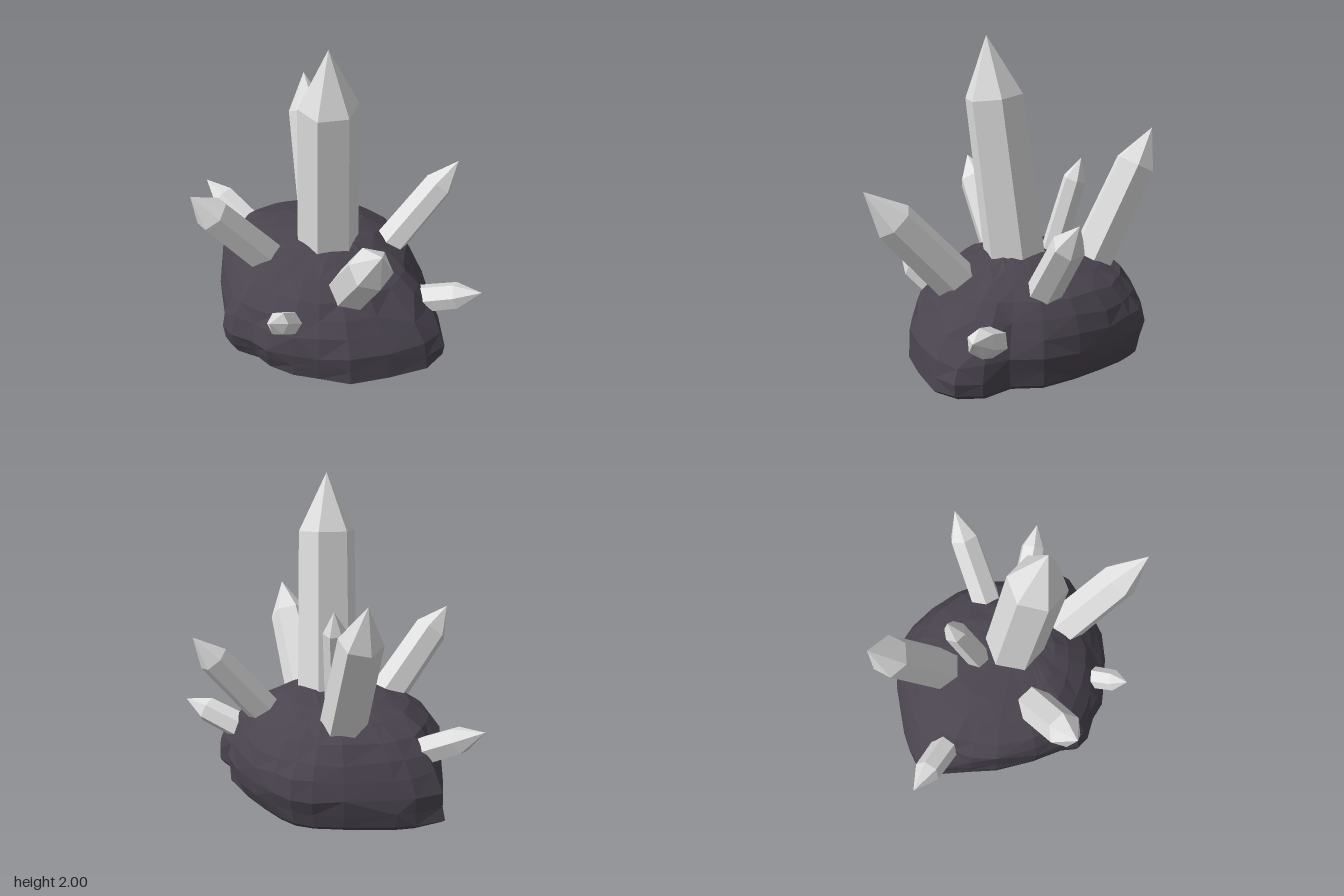
import * as THREE from 'three';

const rockMat = new THREE.MeshStandardMaterial({ color: 0x4a444f, flatShading: true });
rockMat.name = 'dark rock';
const crystalMat = new THREE.MeshStandardMaterial({ color: 0xe0e0e0, flatShading: true });
crystalMat.name = 'pale crystal';

// Small seeded noise in -1..1
function makeNoise(seed) {
  let s = seed;
  return () => {
    s = (s * 16807) % 2147483647;
    return (s / 2147483647) * 2 - 1;
  };
}

// Plan outline of the rock (x, z), running back, left, front, right
const OUTLINE = [
  [-0.16, -0.69], [-0.29, -0.67], [-0.4, -0.6], [-0.53, -0.47], [-0.72, -0.23], [-0.78, -0.13],
  [-0.84, 0.05], [-0.72, 0.17], [-0.6, 0.29], [-0.48, 0.42], [-0.26, 0.58], [-0.07, 0.68],
  [0.0, 0.74], [0.09, 0.74], [0.22, 0.67], [0.34, 0.65], [0.49, 0.57], [0.61, 0.46],
  [0.75, 0.33], [0.84, 0.11], [0.93, -0.13], [0.91, -0.29], [0.79, -0.39], [0.61, -0.42],
  [0.47, -0.56], [0.25, -0.64], [0.03, -0.68],
];

// Rock layers: height, scale along x, scale along z, x shift, roughness, roundness of plan
const LAYERS = [
  [0, 0, 0, 0, 0, 0],
  [0.015, 0.5, 0.5, 0, 0, 0],
  [0.045, 0.97, 0.89, 0, 0.003, 0],
  [0.07, 1.0, 0.93, 0, 0.006, 0],
  [0.15, 0.99, 0.97, 0, 0.01, 0],
  [0.24, 0.97, 1.0, 0, 0.01, 0.1],
  [0.35, 0.88, 0.97, 0, 0.012, 0.35],
  [0.44, 0.8, 0.9, 0, 0.012, 0.6],
  [0.53, 0.69, 0.79, 0.01, 0.012, 0.85],
  [0.6, 0.53, 0.63, 0.02, 0.01, 1],
  [0.65, 0.39, 0.46, 0.06, 0.008, 1],
  [0.685, 0.2, 0.25, 0.13, 0.005, 1],
  [0.7, 0, 0, 0.17, 0, 1],
];

function rockGeometry() {
  const noise = makeNoise(4711);
  const pos = [], index = [], n = OUTLINE.length;
  for (const [y, sx, sz, shift, rough, round] of LAYERS) {
    for (const [x, z] of OUTLINE) {
      const r = Math.hypot(x, z);
      const w = (x / r) ** 2;
      // upper layers ease from the ragged outline to an oval, never past the outline
      const oval = 1 / Math.hypot(x / r / 0.88, z / r / 0.71);
      const scale = (sx * w + sz * (1 - w)) * (1 + round * (oval / r - 1));
      // shallow hollow in the front left flank
      const dent = 0.06 * Math.exp(-(((x + 0.42) / 0.14) ** 2) - ((z - 0.48) / 0.2) ** 2 - ((y - 0.28) / 0.07) ** 2);
      const s = Math.min(scale, 0.985 + 0.015 * sx) + noise() * rough * 1.3 - dent;
      pos.push(x * s + shift, y + noise() * rough, z * s);
    }
  }
  const last = LAYERS.length - 2;
  for (let j = 0; j <= last; j++) {
    for (let i = 0; i < n; i++) {
      const a = j * n + i, b = j * n + ((i + 1) % n), c = b + n, d = a + n;
      const flip = (i + j) % 2;
      if (j > 0) index.push(a, b, flip ? d : c);
      if (j < last) index.push(flip ? b : a, c, d);
    }
  }
  const g = new THREE.BufferGeometry();
  g.setAttribute('position', new THREE.Float32BufferAttribute(pos, 3));
  g.setIndex(index);
  g.computeVertexNormals();
  return g;
}

// Six-sided, slightly tapered prism with a pointed end, from a buried base to its tip
function crystal(name, base, tip, radius, point, turn) {
  const from = new THREE.Vector3(...base);
  const dir = new THREE.Vector3(...tip).sub(from);
  const len = dir.length();
  const profile = [[0, 0], [radius * 1.1, 0], [radius, len - point], [0, len]].map((p) => new THREE.Vector2(...p));
  const g = new THREE.LatheGeometry(profile, 6);
  g.rotateY(turn);
  const mesh = new THREE.Mesh(g, crystalMat);
  mesh.name = name;
  mesh.position.copy(from);
  mesh.quaternion.setFromUnitVectors(new THREE.Vector3(0, 1, 0), dir.normalize());
  return mesh;
}

// name, base, tip, radius, point length, turn about own axis
const CRYSTALS = [
  ['mainCrystal', [0.13, 0.55, 0.005], [0.255, 2.0, 0.118], 0.178, 0.36, 0.55],
  ['tallLeftCrystal', [-0.25, 0.5, -0.23], [-0.66, 1.4, -0.415], 0.13, 0.25, 0.25],
  ['frontCrystal', [-0.04, 0.5, 0.3], [-0.18, 1.115, 0.79], 0.112, 0.19, 0.45],
  ['rightCrystal', [0.44, 0.46, 0.11], [1.0, 1.155, 0.355], 0.126, 0.26, 0.3],
  ['lowLeftCrystal', [-0.5, 0.36, 0.07], [-1.0, 0.625, 0.19], 0.086, 0.18, 0.1],
  ['lowRightCrystal', [0.55, 0.29, -0.27], [0.97, 0.485, -0.515], 0.084, 0.16, 0.2],
  ['backCrystal', [0.27, 0.5, -0.34], [0.445, 1.075, -0.79], 0.097, 0.19, 0.4],
  ['smallBackCrystal', [-0.07, 0.58, -0.09], [-0.195, 1.255, -0.235], 0.072, 0.14, 0.4],
  ['smallFrontCrystal', [0.37, 0.35, 0.43], [0.475, 0.555, 0.715], 0.07, 0.1, 0.15],
];

export function createModel() {
  const model = new THREE.Group();
  model.name = 'crystalCluster';

  const rock = new THREE.Mesh(rockGeometry(), rockMat);
  rock.name = 'rockBase';
  model.add(rock);

  const crystals = new THREE.Group();
  crystals.name = 'crystals';
  for (const c of CRYSTALS) crystals.add(crystal(...c));
  model.add(crystals);
  return model;
}
